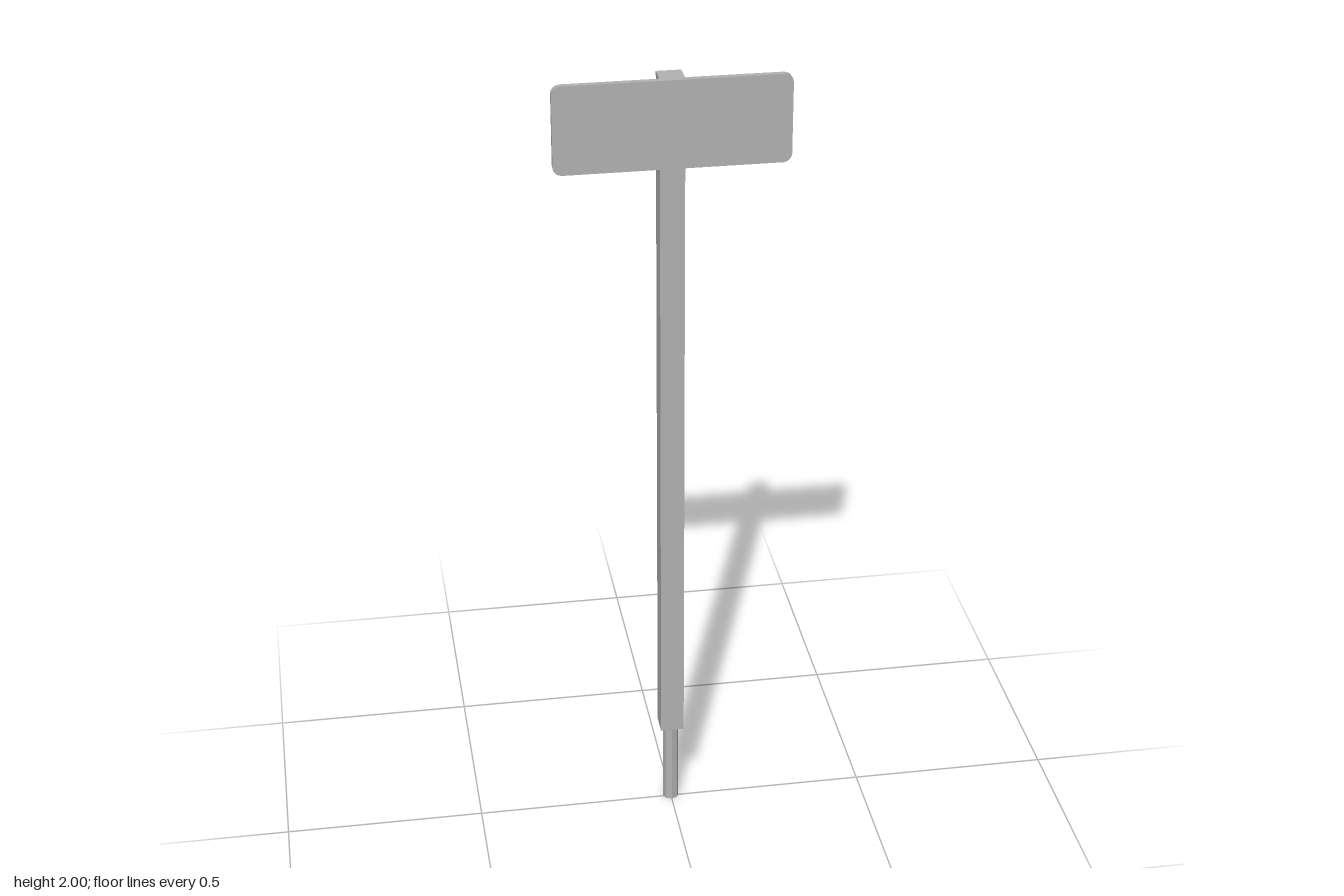
import * as THREE from 'three';

export function createModel() {
  const group = new THREE.Group();
  const grey = new THREE.MeshStandardMaterial({ color: 0xb2b2b2, flatShading: true });
  grey.name = 'plain grey';

  const add = (name, geometry, x, y, z) => {
    const mesh = new THREE.Mesh(geometry, grey);
    mesh.name = name;
    mesh.position.set(x, y, z);
    group.add(mesh);
  };

  // Square post
  const pinTop = 0.225, postZ = -0.004;
  add('post', new THREE.BoxGeometry(0.059, 2 - pinTop, 0.058), 0, (2 + pinTop) / 2, postZ);

  // Ground pin under the post
  add('groundPin', new THREE.CylinderGeometry(0.02, 0.02, pinTop, 8), 0, pinTop / 2, postZ);

  // Sign board with clipped round corners, let into the front of the post
  const w = 0.278, h = 0.1075, r = 0.021;
  const outline = new THREE.Shape();
  outline.absarc(w - r, h - r, r, 0, Math.PI / 2);
  outline.absarc(-w + r, h - r, r, Math.PI / 2, Math.PI);
  outline.absarc(-w + r, -h + r, r, Math.PI, Math.PI * 1.5);
  outline.absarc(w - r, -h + r, r, Math.PI * 1.5, Math.PI * 2);
  const board = new THREE.ExtrudeGeometry(outline, { depth: 0.015, bevelEnabled: false, curveSegments: 2 });
  add('signBoard', board, 0, 2 - h, 0.018);

  return group;
}
